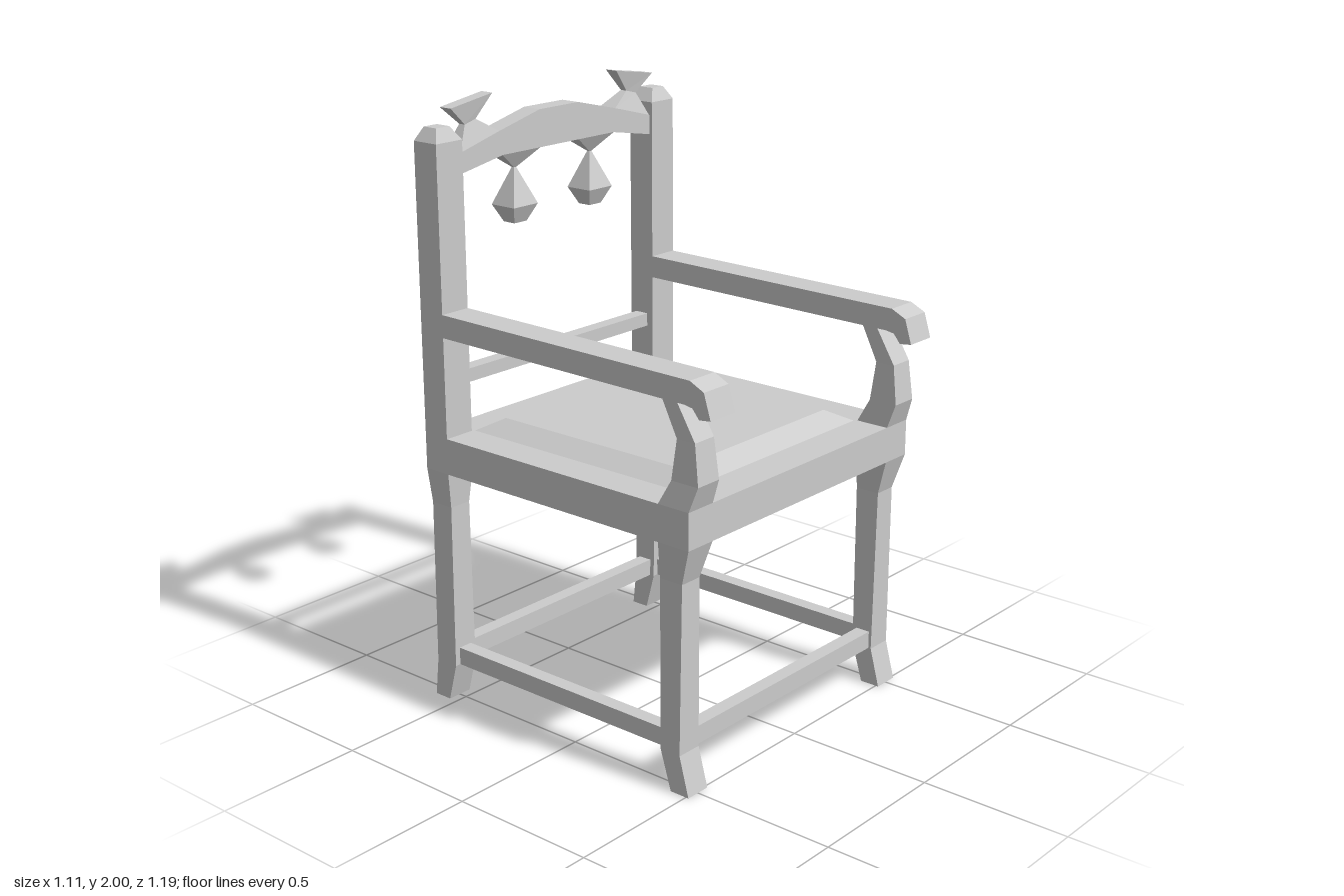
import * as THREE from 'three';

const material = new THREE.MeshStandardMaterial({ color: 0xcccccc, flatShading: true });

// A solid through four-sided sections, listed upwards: [xa, xb, y, zBack, zFront, y at xb (optional)]
function loft(name, sections, mirrored = false) {
  const rings = sections.map(([xa, xb, ya, z0, z1, yb = ya]) => {
    if (mirrored) [xa, xb, ya, yb] = [-xb, -xa, yb, ya];
    return [[xa, ya, z1], [xb, yb, z1], [xb, yb, z0], [xa, ya, z0]];
  });
  const pos = [];
  const quad = (a, b, c, d) => pos.push(...a, ...b, ...c, ...a, ...c, ...d);
  for (let k = 0; k + 1 < rings.length; k++) {
    for (let i = 0; i < 4; i++) {
      const j = (i + 1) % 4;
      quad(rings[k][i], rings[k][j], rings[k + 1][j], rings[k + 1][i]);
    }
  }
  const bottom = rings[0], top = rings[rings.length - 1];
  quad(bottom[3], bottom[2], bottom[1], bottom[0]);
  quad(...top);
  const geo = new THREE.BufferGeometry();
  geo.setAttribute('position', new THREE.Float32BufferAttribute(pos, 3));
  geo.computeVertexNormals();
  return named(name, geo);
}

function named(name, geo) {
  const mesh = new THREE.Mesh(geo, material);
  mesh.name = name;
  return mesh;
}

// Box given by its limits
function box(name, x0, x1, y0, y1, z0, z1) {
  const mesh = named(name, new THREE.BoxGeometry(x1 - x0, y1 - y0, z1 - z0));
  mesh.position.set((x0 + x1) / 2, (y0 + y1) / 2, (z0 + z1) / 2);
  return mesh;
}

function extrude(name, points, depth) {
  const shape = new THREE.Shape(points.map(([x, y]) => new THREE.Vector2(x, y)));
  return named(name, new THREE.ExtrudeGeometry(shape, { depth, bevelEnabled: false }));
}

export function createModel() {
  const chair = new THREE.Group();
  chair.name = 'armchair';

  // Seat frame and raised panel with sloping edges
  chair.add(box('seatFrame', -0.555, 0.555, 0.81, 0.93, -0.585, 0.517));
  chair.add(loft('seatPanel', [
    [-0.445, 0.445, 0.925, -0.49, 0.4],
    [-0.365, 0.365, 0.97, -0.41, 0.32],
  ]));

  for (const m of [false, true]) {
    const s = m ? -1 : 1;
    const side = m ? 'right' : 'left';

    // Front leg with a foot kicked forward
    chair.add(loft(side + 'FrontLeg', [
      [0.455, 0.545, 0, 0.44, 0.51],
      [0.455, 0.545, 0.13, 0.4, 0.475],
      [0.46, 0.54, 0.69, 0.395, 0.48],
      [0.445, 0.555, 0.81, 0.4, 0.517],
    ], m));

    // Back leg with a foot kicked backward
    chair.add(loft(side + 'BackLeg', [
      [0.455, 0.545, 0, -0.595, -0.53],
      [0.455, 0.545, 0.13, -0.58, -0.495],
      [0.46, 0.54, 0.69, -0.58, -0.495],
      [0.445, 0.555, 0.81, -0.585, -0.487],
    ], m));

    // Back post with a chamfered top
    chair.add(loft(side + 'BackPost', [
      [0.445, 0.555, 0.92, -0.585, -0.487],
      [0.445, 0.555, 1.877, -0.585, -0.487],
      [0.475, 0.53, 1.92, -0.565, -0.51],
    ], m));

    // Curved arm support
    chair.add(loft(side + 'ArmSupport', [
      [0.445, 0.555, 0.93, 0.4, 0.517],
      [0.45, 0.545, 1.01, 0.443, 0.544],
      [0.455, 0.54, 1.14, 0.46, 0.528],
      [0.455, 0.54, 1.26, 0.4, 0.455],
    ], m));

    // Armrest with a drooping front end
    const arm = extrude(side + 'Armrest', [
      [0.487, 1.265], [0.487, 1.34], [-0.52, 1.33], [-0.572, 1.305],
      [-0.597, 1.225], [-0.555, 1.22], [-0.53, 1.25], [-0.5, 1.255],
    ], 0.11);
    arm.rotation.y = Math.PI / 2;
    arm.position.x = s * 0.5 - 0.055;
    chair.add(arm);

    // Side stretcher
    chair.add(box(side + 'Stretcher', s * 0.5 - 0.025, s * 0.5 + 0.025, 0.13, 0.19, -0.5, 0.41));

    // Flared finial on the crest rail
    chair.add(loft(side + 'Finial', [
      [0.267, 0.445, 1.875, -0.567, -0.497, 1.83],
      [0.353, 0.4, 1.925, -0.545, -0.52, 1.913],
      [0.29, 0.47, 2.0, -0.555, -0.507, 1.973],
    ], m));

    // Hanging drop under the crest rail
    chair.add(loft(side + 'Pendant', [
      [0.15, 0.206, 1.568, -0.556, -0.508],
      [0.123, 0.233, 1.625, -0.582, -0.482],
      [0.173, 0.183, 1.745, -0.537, -0.527],
      [0.09, 0.262, 1.8, -0.567, -0.497],
    ], m));
  }

  // Front and back stretchers
  for (const [name, z] of [['frontStretcher', 0.44], ['backStretcher', -0.537]]) {
    chair.add(box(name, -0.465, 0.465, 0.13, 0.19, z - 0.025, z + 0.025));
  }

  // Lower back rail and arched crest rail
  chair.add(box('backRail', -0.45, 0.45, 1.085, 1.13, -0.562, -0.512));
  const crest = extrude('crestRail', [
    [-0.446, 1.767], [-0.26, 1.8], [0.26, 1.8], [0.446, 1.767], [0.446, 1.833],
    [0.267, 1.88], [0.09, 1.923], [-0.09, 1.923], [-0.267, 1.88], [-0.446, 1.833],
  ], 0.07);
  crest.position.z = -0.567;
  chair.add(crest);

  return chair;
}
